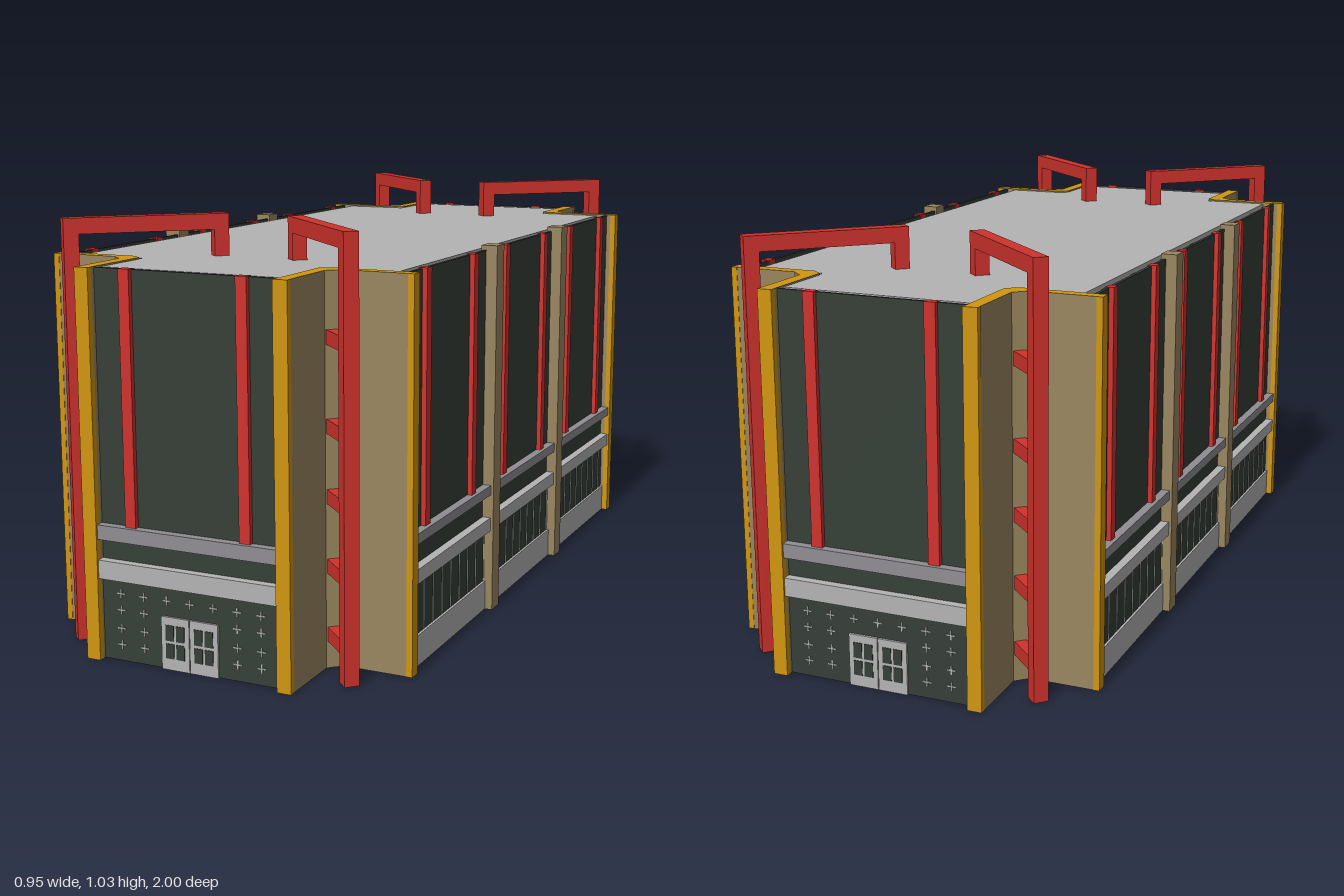
import * as THREE from 'three';

const mat = (name, color) => Object.assign(new THREE.MeshStandardMaterial({ color }), { name });
const dark = mat('darkGlass', 0x363f38);
const light = mat('lightGrey', 0xb4b4b4);
const grey = mat('midGrey', 0x908e92);
const red = mat('red', 0xd0322d);
const yellow = mat('yellow', 0xd0960f);
const tan = mat('tan', 0x9a8660);

function box(parent, name, material, w, h, d, x, y, z) {
  const m = new THREE.Mesh(new THREE.BoxGeometry(w, h, d), material);
  m.position.set(x, y, z);
  m.name = name;
  parent.add(m);
  return m;
}

// Box given by its bottom and top heights, and its back and front depths
const slab = (parent, name, material, w, x, y0, y1, z0, z1) =>
  box(parent, name, material, w, y1 - y0, z1 - z0, x, (y0 + y1) / 2, (z0 + z1) / 2);

// One wall facing local +z, its outermost ledge at depth d
function facade(name, width, d, bars, ledge, sill) {
  const g = new THREE.Group();
  g.name = name;
  slab(g, 'upperWall', dark, width, 0, ledge[1], 0.928, d - 0.03, d - 0.022);
  slab(g, 'windowBand', dark, width, 0, sill[1], ledge[0], d - 0.03, d - 0.022);
  slab(g, 'lowerWall', dark, width, 0, 0, sill[0], d - 0.026, d - 0.018);
  slab(g, 'upperLedge', grey, width, 0, ledge[0], ledge[1], d - 0.055, d);
  slab(g, 'lowerLedge', light, width, 0, sill[0], sill[1], d - 0.03, d);
  for (const x of bars) slab(g, 'redBar', red, 0.028, x, ledge[1], 0.93, d - 0.032, d - 0.01);
  return g;
}

// End wall with a double door and small window crosses
function endWall() {
  const d = 0.995;
  const g = facade('endWall', 0.474, d, [-0.15, 0.15], [0.295, 0.33], [0.2, 0.245]);
  for (let i = -3; i <= 3; i++) {
    for (const y of [0.04, 0.08, 0.125, 0.165]) {
      if (Math.abs(i) < 2 && y < 0.15) continue;
      const x = i * 0.062;
      box(g, 'windowCross', light, 0.022, 0.003, 0.002, x, y, d - 0.017);
      box(g, 'windowCross', light, 0.003, 0.022, 0.002, x, y, d - 0.017);
    }
  }
  for (const s of [-1, 1]) {
    slab(g, 'doorLeaf', light, 0.074, s * 0.038, 0, 0.128, d - 0.03, d - 0.012);
    for (const dx of [-0.014, 0.014]) for (const y of [0.046, 0.09]) {
      const w = 0.022, h = y < 0.06 ? 0.036 : 0.038;
      box(g, 'doorPane', dark, w, h, 0.002, s * 0.038 + dx, y, d - 0.0115);
    }
  }
  return g;
}

// Long wall with a plinth, mullions and two pilasters
function sideWall() {
  const d = 0.47;
  const bars = [0.67, 0.375, 0.15].flatMap((z) => [z, -z]);
  const g = facade('sideWall', 1.534, d, bars, [0.305, 0.33], [0.21, 0.245]);
  slab(g, 'plinth', light, 1.534, 0, 0, 0.075, d - 0.028, d - 0.012);
  for (let i = -13; i <= 13; i++) {
    box(g, 'mullion', light, 0.004, 0.13, 0.002, i * 0.056, 0.142, d - 0.017);
  }
  for (const s of [-1, 1]) slab(g, 'pilaster', tan, 0.05, s * 0.255, 0, 0.94, d - 0.035, d + 0.007);
  return g;
}

// L-shaped corner wall, tan sides with yellow top and ends
function cornerWall(sx, sz) {
  const g = new THREE.Group();
  g.name = 'cornerWall';
  const plan = [[0.236, 0.985], [0.27, 0.985], [0.27, 0.82], [0.3, 0.792], [0.46, 0.792],
    [0.46, 0.762], [0.262, 0.762], [0.236, 0.785]];
  const shape = new THREE.Shape(plan.map(([x, z]) => new THREE.Vector2(sx * x, -sz * z)));
  const geo = new THREE.ExtrudeGeometry(shape, { depth: 0.93, bevelEnabled: false });
  geo.rotateX(-Math.PI / 2);
  const wall = new THREE.Mesh(geo, [yellow, tan]);
  wall.name = 'cornerPanel';
  g.add(wall);
  box(g, 'endTrim', yellow, 0.036, 0.93, 0.015, sx * 0.253, 0.465, sz * 0.9925);
  box(g, 'sideTrim', yellow, 0.015, 0.93, 0.032, sx * 0.4675, 0.465, sz * 0.777);
  return g;
}

// Diagonal red frame: local +x points outward, away from the roof
function cornerFrame(sx, sz) {
  const g = new THREE.Group();
  g.name = 'cornerFrame';
  const w = 0.036, len = 0.361;
  g.position.set(sx * 0.105, 0, sz * 0.63);
  g.rotation.y = Math.atan2(-sz, sx);
  box(g, 'framePost', red, w, 1.028, w, len, 0.514, 0);
  box(g, 'frameBeam', red, len, 0.038, w, len / 2 - w / 2, 1.009, 0);
  box(g, 'frameDrop', red, w, 0.07, w, 0, 0.957, 0);
  for (const y of [0.083, 0.247, 0.412, 0.576, 0.78]) {
    box(g, 'frameRung', red, 0.12, 0.034, w * 0.8, len - 0.07, y, 0);
  }
  return g;
}

export function createModel() {
  const model = new THREE.Group();
  model.name = 'building';

  // Cross-shaped roof, set in a little from the walls
  const a = 0.415, b = 0.765, c = 0.24, e = 0.945;
  const roofPlan = [[c, e], [c, b], [a, b], [a, -b], [c, -b], [c, -e],
    [-c, -e], [-c, -b], [-a, -b], [-a, b], [-c, b], [-c, e]];
  const roofGeo = new THREE.ExtrudeGeometry(
    new THREE.Shape(roofPlan.map(([x, y]) => new THREE.Vector2(x, y))),
    { depth: 0.012, bevelEnabled: false });
  roofGeo.rotateX(-Math.PI / 2).translate(0, 0.914, 0);
  const roof = new THREE.Mesh(roofGeo, light);
  roof.name = 'roof';
  model.add(roof);

  // Four walls, open underneath
  for (let i = 0; i < 4; i++) {
    const wall = i % 2 ? sideWall() : endWall();
    wall.rotation.y = (i * Math.PI) / 2;
    model.add(wall);
  }

  // Four corners
  for (const sx of [-1, 1]) for (const sz of [-1, 1]) {
    model.add(cornerWall(sx, sz), cornerFrame(sx, sz));
  }
  return model;
}
